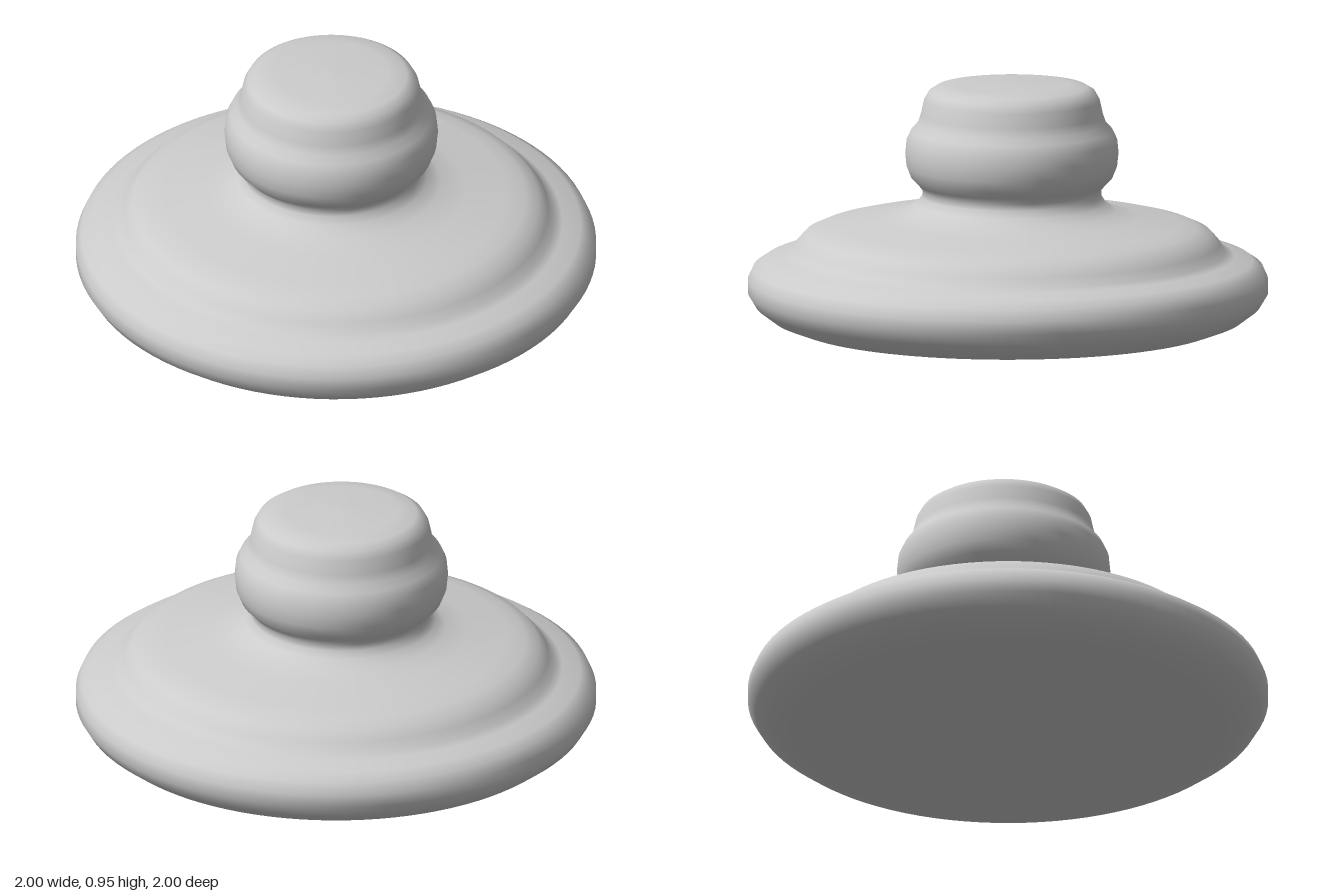
import * as THREE from 'three';

// Half profiles as [radius, height], from bottom to top
const BASE = [
  [0, 0], [0.7, 0.003], [0.83, 0.015], [0.91, 0.045], [0.97, 0.09], [1, 0.14], [1, 0.19],
  [0.98, 0.235], [0.94, 0.262], [0.87, 0.28], [0.838, 0.295], [0.815, 0.33], [0.78, 0.368],
  [0.73, 0.39], [0.66, 0.407], [0.5, 0.433], [0.41, 0.455],
];
const KNOB = [
  [0.365, 0.483], [0.345, 0.51], [0.343, 0.535], [0.36, 0.558], [0.387, 0.585], [0.405, 0.63],
  [0.41, 0.68], [0.405, 0.73], [0.387, 0.768], [0.362, 0.795], [0.35, 0.83], [0.338, 0.885],
  [0.32, 0.917], [0.29, 0.936], [0.22, 0.947], [0, 0.953],
];
const KNOB_OFFSET = -0.025;

export function createModel() {
  const group = new THREE.Group();
  const points = [...BASE, ...KNOB].map(([r, y]) => new THREE.Vector2(r, y));
  const geometry = new THREE.LatheGeometry(points, 96);

  // The knob sits slightly off the base's axis; the neck blends the shift
  const pos = geometry.attributes.position;
  for (let i = 0; i < pos.count; i++) {
    const shift = KNOB_OFFSET * THREE.MathUtils.smoothstep(pos.getY(i), 0.39, 0.52);
    pos.setX(i, pos.getX(i) + shift);
  }

  const body = new THREE.Mesh(geometry, new THREE.MeshStandardMaterial({ color: 0xcccccc }));
  body.name = 'baseWithKnob';
  group.add(body);
  return group;
}
